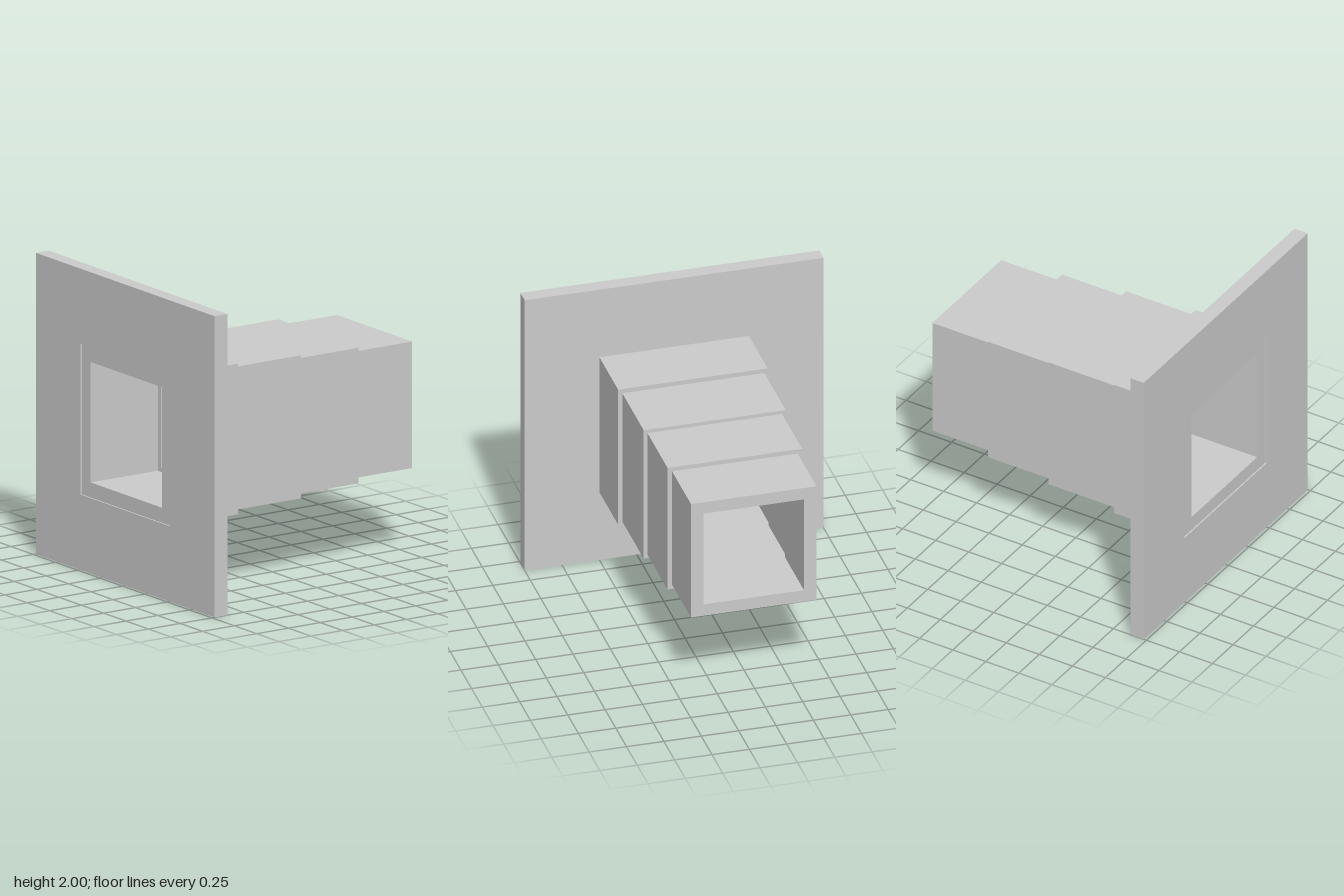
import * as THREE from 'three';

const material = new THREE.MeshStandardMaterial({ color: 0xcccccc, flatShading: true });

// Square outline of half-width h, as a shape or a hole
function square(h, Type) {
  const p = new Type();
  p.moveTo(-h, -h);
  p.lineTo(h, -h);
  p.lineTo(h, h);
  p.lineTo(-h, h);
  p.closePath();
  return p;
}

// Square frame extruded from zBack to zFront, centred at y = 1
function frame(name, outer, inner, zBack, zFront) {
  const shape = square(outer, THREE.Shape);
  shape.holes.push(square(inner, THREE.Path));
  const geometry = new THREE.ExtrudeGeometry(shape, { depth: zFront - zBack, bevelEnabled: false });
  const mesh = new THREE.Mesh(geometry, material);
  mesh.name = name;
  mesh.position.set(0, 1, zBack);
  return mesh;
}

export function createModel() {
  const model = new THREE.Group();
  model.name = 'steppedSquareDuct';

  // Front flange plate
  model.add(frame('flangePlate', 1, 0.5, 0.88, 0.98));

  // Tube sections narrowing to the back; the first sits just inside the flange
  const sections = [
    [0.5, 0.443, 0.97],
    [0.475, -0.068, 0.432],
    [0.45, -0.538, -0.068],
    [0.42, -0.98, -0.538],
  ];
  sections.forEach(([outer, zBack, zFront], i) => {
    model.add(frame(`tubeSection${i + 1}`, outer, outer * 0.8, zBack, zFront));
  });

  return model;
}
